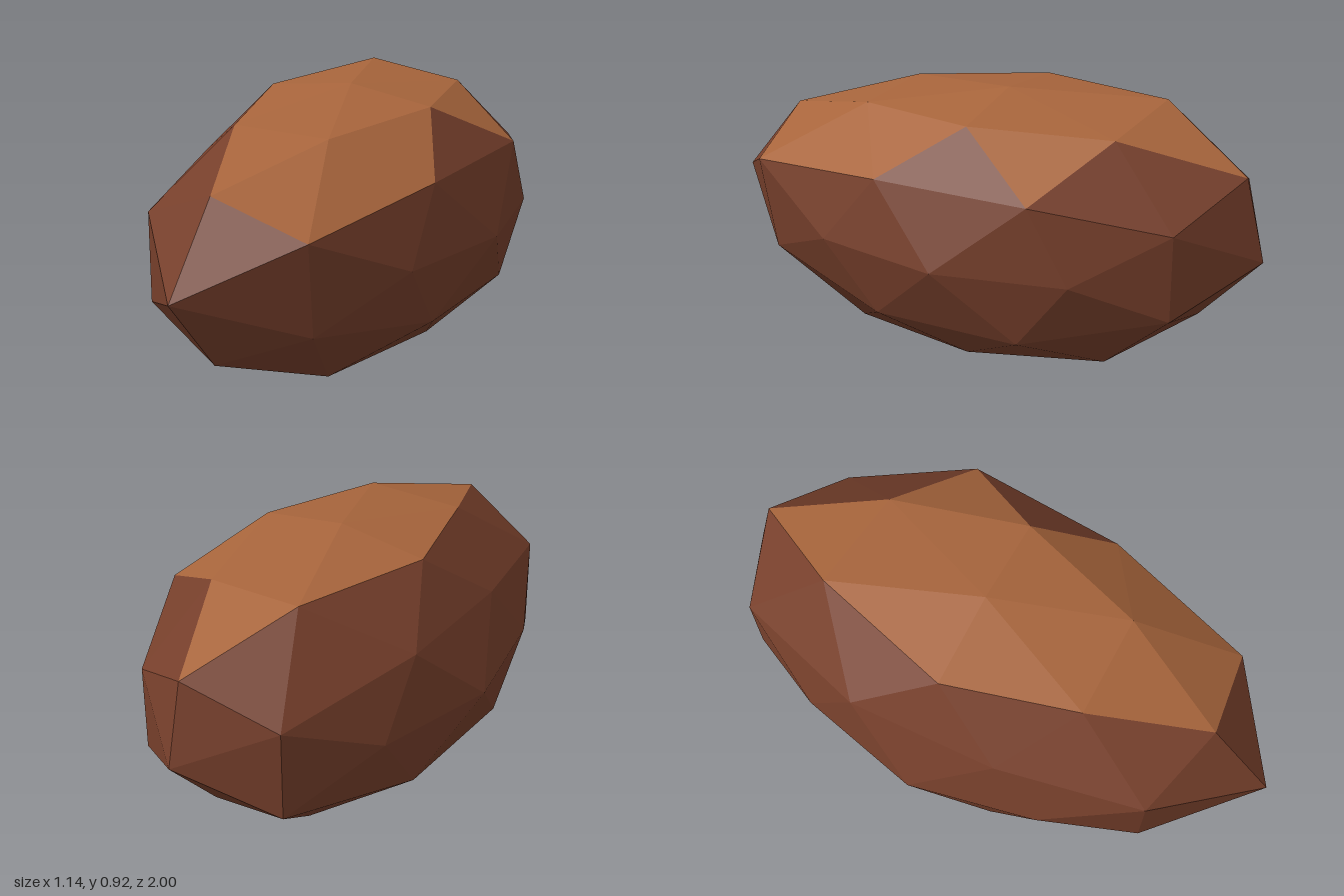
import * as THREE from 'three';

// Half extents of each family of mirrored corners, keyed by |direction| in tenths
const CORNERS = {
  '10,0,0': [0.57, 0, 0],
  '0,10,0': [0, 0.46, 0],
  '0,0,10': [0, 0, 1.0],
  '5,9,0': [0.31, 0.40, 0],
  '0,5,9': [0, 0.28, 0.85],
  '9,0,5': [0.472, 0, 0.44],
  '3,8,5': [0.18, 0.39, 0.45],
  '8,5,3': [0.465, 0.24, 0.26],
  '5,3,8': [0.31, 0.155, 0.76],
};

// Small dents and bumps that make the lump irregular
const NUDGES = {
  '0,0,10': [0, 0, 0.08], '0,0,-10': [0, 0, 0.08],
  '-5,9,0': [-0.01, 0.02, 0], '5,9,0': [0, 0.015, 0], '-5,-9,0': [0.04, 0.04, 0],
  '0,-5,-9': [0, 0.05, 0.14],
  '9,0,5': [0.015, 0, 0.01],
  '-3,8,-5': [-0.01, 0.045, -0.05], '3,8,-5': [0, 0.01, -0.015],
  '3,-8,5': [0.015, -0.025, 0.03], '-3,-8,5': [0.02, 0, 0],
  '8,5,-3': [0.02, 0.01, -0.04], '-8,5,3': [0.03, -0.02, 0],
  '5,3,8': [0.015, 0.015, 0.05], '5,3,-8': [-0.03, 0, 0.05], '5,-3,-8': [-0.03, 0.015, 0.05],
};

const CENTRE = [0, 0.462, -0.08];

// Moves a corner of the unit sphere to its place on the lump
function shape(dir) {
  const d = dir.toArray().map((v) => Math.round(v * 10) + 0);
  const base = CORNERS[d.map(Math.abs).join()];
  const nudge = NUDGES[d.join()] || [0, 0, 0];
  return base.map((b, i) => CENTRE[i] + Math.sign(d[i]) * b + nudge[i]);
}

// The pale patch covers the top and spills down the front left shoulder
function isPale(c) {
  return (c.y > 0.7 && c.x > -0.4) || (c.y > 0.5 && c.x > 0 && c.z > 0.2);
}

function facetMesh(name, points, material) {
  const geometry = new THREE.BufferGeometry();
  geometry.setAttribute('position', new THREE.Float32BufferAttribute(points, 3));
  geometry.computeVertexNormals();
  const mesh = new THREE.Mesh(geometry, material);
  mesh.name = name;
  return mesh;
}

export function createModel() {
  const darkBrown = new THREE.MeshStandardMaterial({ color: 0x763f2b, flatShading: true });
  darkBrown.name = 'dark brown';
  const paleBrown = new THREE.MeshStandardMaterial({ color: 0xa8653c, flatShading: true });
  paleBrown.name = 'pale brown';

  const sphere = new THREE.IcosahedronGeometry(1, 1).getAttribute('position');
  const body = [];
  const patch = [];
  for (let i = 0; i < sphere.count; i += 3) {
    const tri = [0, 1, 2].map((k) => new THREE.Vector3().fromBufferAttribute(sphere, i + k));
    const middle = new THREE.Vector3().add(tri[0]).add(tri[1]).add(tri[2]).divideScalar(3);
    (isPale(middle) ? patch : body).push(...tri.flatMap(shape));
  }

  const model = new THREE.Group();
  model.name = 'facetedLump';
  model.add(facetMesh('body', body, darkBrown), facetMesh('topPatch', patch, paleBrown));
  return model;
}
